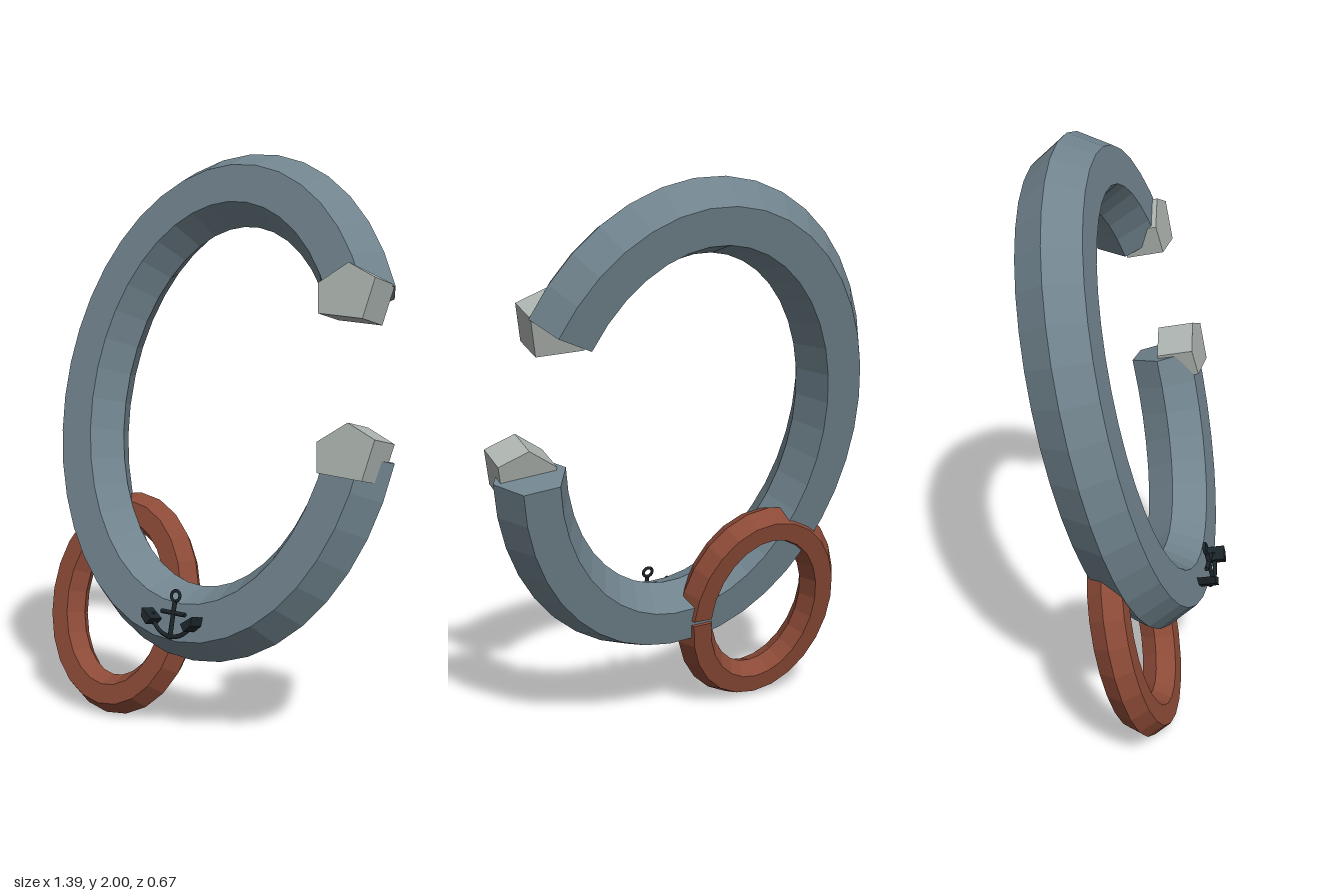
import * as THREE from 'three';

const slate = new THREE.MeshStandardMaterial({ color: 0x70838d });
slate.name = 'slate';
const rust = new THREE.MeshStandardMaterial({ color: 0x8c4a37 });
rust.name = 'rust';
const paleStone = new THREE.MeshStandardMaterial({ color: 0xacb3af });
paleStone.name = 'paleStone';
const darkIron = new THREE.MeshStandardMaterial({ color: 0x1b252a });
darkIron.name = 'darkIron';

function addMesh(parent, name, geometry, material, x = 0, y = 0, z = 0) {
  const mesh = new THREE.Mesh(geometry, material);
  mesh.name = name;
  mesh.position.set(x, y, z);
  parent.add(mesh);
  return mesh;
}

// Faceted hexagonal tube of even thickness swept along an elliptical arc, with capped ends
function ellipseRing(a, b, r, startDeg, endDeg, steps) {
  const sides = 6, pos = [], index = [];
  for (let i = 0; i <= steps; i++) {
    const t = THREE.MathUtils.degToRad(startDeg + (endDeg - startDeg) * i / steps);
    const n = new THREE.Vector2(Math.cos(t) / a, Math.sin(t) / b).normalize();
    for (let j = 0; j < sides; j++) {
      const v = j / sides * Math.PI * 2;
      const d = r * Math.cos(v);
      pos.push(a * Math.cos(t) + n.x * d, b * Math.sin(t) + n.y * d, r * Math.sin(v));
    }
  }
  for (let i = 0; i < steps; i++) {
    for (let j = 0; j < sides; j++) {
      const k = (j + 1) % sides;
      const p = i * sides + j, q = p + sides, s = i * sides + k, u = s + sides;
      index.push(p, q, u, p, u, s);
    }
  }
  const last = steps * sides;
  for (let j = 1; j < sides - 1; j++) {
    index.push(0, j, j + 1, last, last + j + 1, last + j);
  }
  const indexed = new THREE.BufferGeometry();
  indexed.setAttribute('position', new THREE.Float32BufferAttribute(pos, 3));
  indexed.setIndex(index);
  const flat = indexed.toNonIndexed();
  flat.computeVertexNormals();
  return flat;
}

function prism(points, depth) {
  const shape = new THREE.Shape(points.map(([x, y]) => new THREE.Vector2(x, y)));
  return new THREE.ExtrudeGeometry(shape, { depth, bevelEnabled: false });
}

function createAnchor() {
  const anchor = new THREE.Group();
  anchor.name = 'anchor';
  addMesh(anchor, 'anchorEye', new THREE.TorusGeometry(0.018, 0.006, 6, 16), darkIron, 0, 0.072, 0);
  addMesh(anchor, 'anchorShank', new THREE.CylinderGeometry(0.008, 0.008, 0.13, 8), darkIron, 0, -0.011, 0);
  const stock = addMesh(anchor, 'anchorStock', new THREE.CylinderGeometry(0.008, 0.008, 0.1, 8), darkIron, 0, 0.014, 0);
  stock.rotation.z = Math.PI / 2;

  // Curved arms
  const arms = addMesh(anchor, 'anchorArms', new THREE.TorusGeometry(0.09, 0.008, 6, 20, Math.PI * 0.86), darkIron, 0, 0.023, 0);
  arms.rotation.z = Math.PI * 1.07;

  // Broad flukes at the arm tips
  const fluke = [[0.062, -0.015], [0.08, -0.038], [0.104, -0.015], [0.106, 0.016]];
  for (const side of [-1, 1]) {
    const pts = fluke.map(([x, y]) => [side * x, y]);
    addMesh(anchor, side > 0 ? 'leftFluke' : 'rightFluke', prism(pts, 0.08), darkIron, 0, 0, -0.04);
  }
  return anchor;
}

export function createModel() {
  const model = new THREE.Group();
  model.name = 'openRingWithLink';

  // Everything shares one plane that leans back
  const leaning = new THREE.Group();
  leaning.name = 'leaningAssembly';
  leaning.position.set(0, 1.1325, -0.0225);
  leaning.rotation.x = -0.241;
  model.add(leaning);

  addMesh(leaning, 'openRing', ellipseRing(0.57, 0.763, 0.13, 31, 351, 36), slate);
  addMesh(leaning, 'linkRing', ellipseRing(0.255, 0.334, 0.07, 0, 357, 24), rust, -0.364, -0.746, -0.063);

  // Five-sided blocks on the two ends of the open ring
  const block = [[0.39, 0.424], [0.405, 0.323], [0.575, 0.314], [0.602, 0.45], [0.495, 0.496]];
  addMesh(leaning, 'upperEndBlock', prism(block, 0.135), paleStone, 0, 0, -0.005);
  addMesh(leaning, 'lowerEndBlock', prism(block, 0.135), paleStone, 0.078, -0.521, -0.005);

  const anchor = createAnchor();
  anchor.position.set(0, -0.745, 0.137);
  leaning.add(anchor);

  return model;
}
